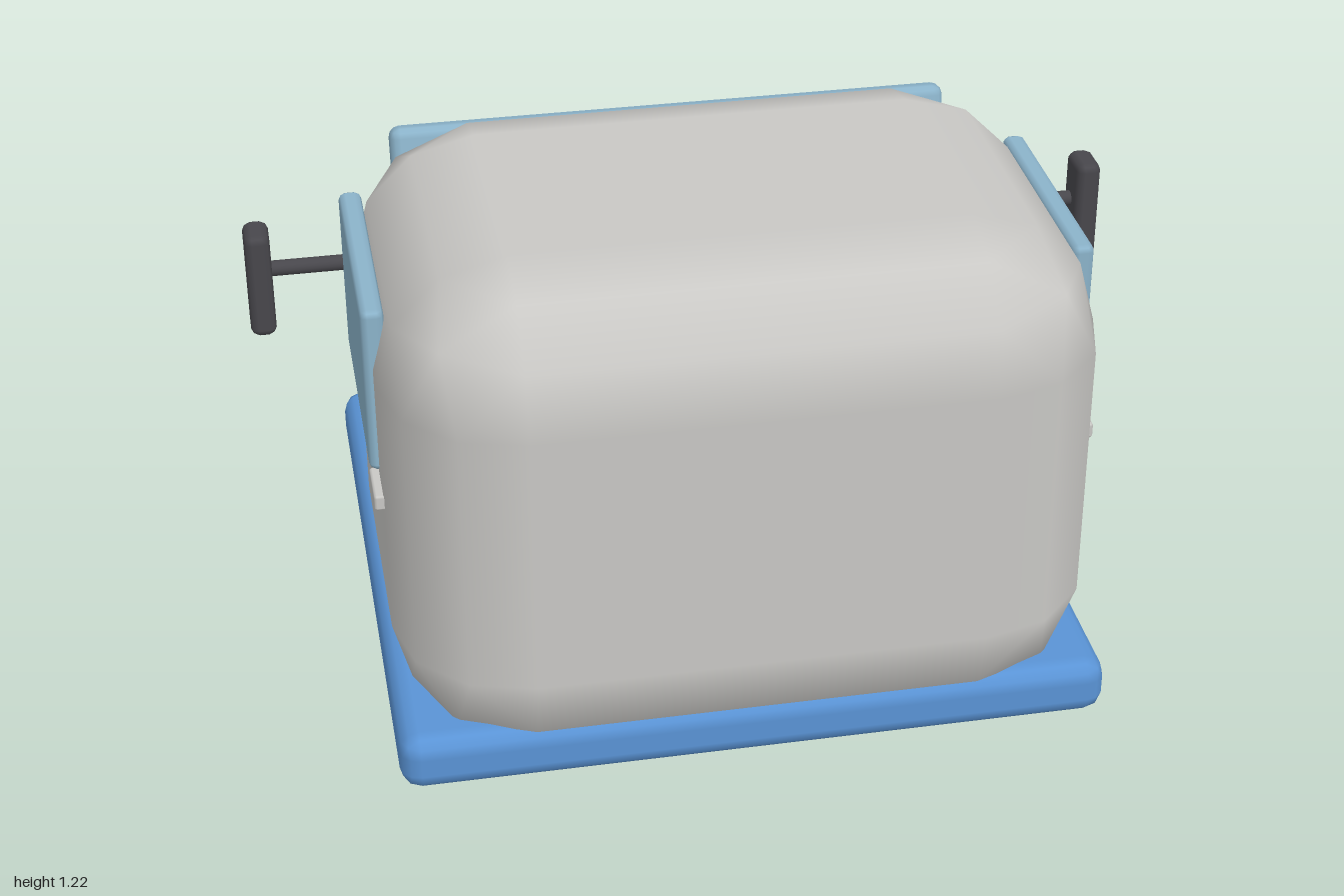
import * as THREE from 'three';
import { ConvexGeometry } from 'three/addons/geometries/ConvexGeometry.js';

const mat = (name, color, side = THREE.FrontSide) => {
  const m = new THREE.MeshStandardMaterial({ color, side });
  m.name = name;
  return m;
};

// Box with rounded edges: hull of eight sphere octants, with smooth normals
function roundBox(w, h, d, r, segs = 2) {
  const inner = new THREE.Vector3(w / 2 - r, h / 2 - r, d / 2 - r);
  const points = [];
  const s = (i) => Math.sin((i / segs) * Math.PI / 2);
  for (const sx of [-1, 1]) for (const sy of [-1, 1]) for (const sz of [-1, 1])
    for (let i = 0; i <= segs; i++) for (let j = 0; j <= segs - i; j++) {
      const n = new THREE.Vector3(s(i), s(j), s(segs - i - j)).normalize();
      points.push(n.multiplyScalar(r).add(inner).multiply(new THREE.Vector3(sx, sy, sz)));
    }
  const geo = new ConvexGeometry(points);
  const pos = geo.attributes.position, nor = geo.attributes.normal;
  const p = new THREE.Vector3(), c = new THREE.Vector3(), low = inner.clone().negate();
  for (let i = 0; i < pos.count; i++) {
    p.fromBufferAttribute(pos, i);
    c.copy(p).clamp(low, inner);
    p.sub(c).normalize();
    nor.setXYZ(i, p.x, p.y, p.z);
  }
  return geo;
}

// Round disc with a softened rim, facing -z, centred on its thickness
function disc(r, t, b) {
  const pts = [[0, -t / 2], [r - b, -t / 2], [r - b * 0.3, -t / 2 + b * 0.3], [r, -t / 2 + b],
    [r, t / 2 - b], [r - b * 0.3, t / 2 - b * 0.3], [r - b, t / 2], [0, t / 2]];
  return new THREE.LatheGeometry(pts.map(([x, y]) => new THREE.Vector2(x, y)), 32).rotateX(-Math.PI / 2);
}

export function createModel() {
  const paint = mat('bodyGrey', 0xc9c8c5);
  const blue = mat('bumperBlue', 0x5a94d6);
  const glass = mat('windowBlue', 0x8bb3ca);
  const dark = mat('mirrorDark', 0x48474c);
  const amber = mat('signalAmber', 0xd69c38);
  const red = mat('badgeRed', 0xcb5d55);
  const cream = mat('lensCream', 0xcdc8b4);

  const model = new THREE.Group();
  model.name = 'van';
  const add = (name, geo, material, x, y, z, tilt = 0) => {
    const m = new THREE.Mesh(geo, material);
    m.name = name;
    m.position.set(x, y, z);
    m.rotation.x = tilt;
    model.add(m);
    return m;
  };

  // Cabin and base
  add('cabin', roundBox(1.53, 1.16, 1.12, 0.28, 3), paint, 0, 0.635, 0.205);
  add('base', roundBox(1.56, 0.133, 1.495, 0.045, 3), blue, 0, 0.128, -0.018);

  // Hood, slightly narrower toward the top
  const hood = roundBox(1.45, 0.525, 0.46, 0.19, 3);
  const hp = hood.attributes.position;
  for (let i = 0; i < hp.count; i++) hp.setZ(i, hp.getZ(i) * (1 - 0.24 * Math.max(0, hp.getY(i) + 0.08)));
  add('hood', hood, paint, 0, 0.2625, -0.473);

  // Windshield leaning forward
  add('windshield', roundBox(1.3, 0.45, 0.065, 0.025, 3), glass, 0, 0.885, -0.325, -0.245);

  // Nose details
  add('badge', disc(0.105, 0.035, 0.012), red, 0, 0.495, -0.728);
  add('numberPlate', roundBox(0.55, 0.165, 0.04, 0.008), paint, 0, 0.262, -0.716);

  // Paired parts
  for (const [side, s] of [['left', 1], ['right', -1]]) {
    add(side + 'Window', roundBox(0.05, 0.385, 0.56, 0.015), glass, s * 0.76, 0.878, 0.133);
    add(side + 'Handle', roundBox(0.04, 0.036, 0.12, 0.006), paint, s * 0.765, 0.654, 0.43);
    add(side + 'MirrorStem', new THREE.CylinderGeometry(0.018, 0.018, 0.24, 16).rotateZ(Math.PI / 2),
      dark, s * 0.85, 0.838, -0.245);
    add(side + 'Mirror', roundBox(0.058, 0.255, 0.102, 0.018), dark, s * 0.971, 0.817, -0.241);
    const ring = add(side + 'LampRing', disc(0.145, 0.05, 0.02), paint, s * 0.468, 0.385, -0.695, 0.12);
    ring.scale.set(1.03, 0.94, 1);
    add(side + 'LampLens', disc(0.113, 0.05, 0.015), cream, s * 0.468, 0.387, -0.713, 0.1);
    add(side + 'Signal', roundBox(0.1, 0.06, 0.056, 0.015), amber, s * 0.658, 0.222, -0.698);
  }
  return model;
}
